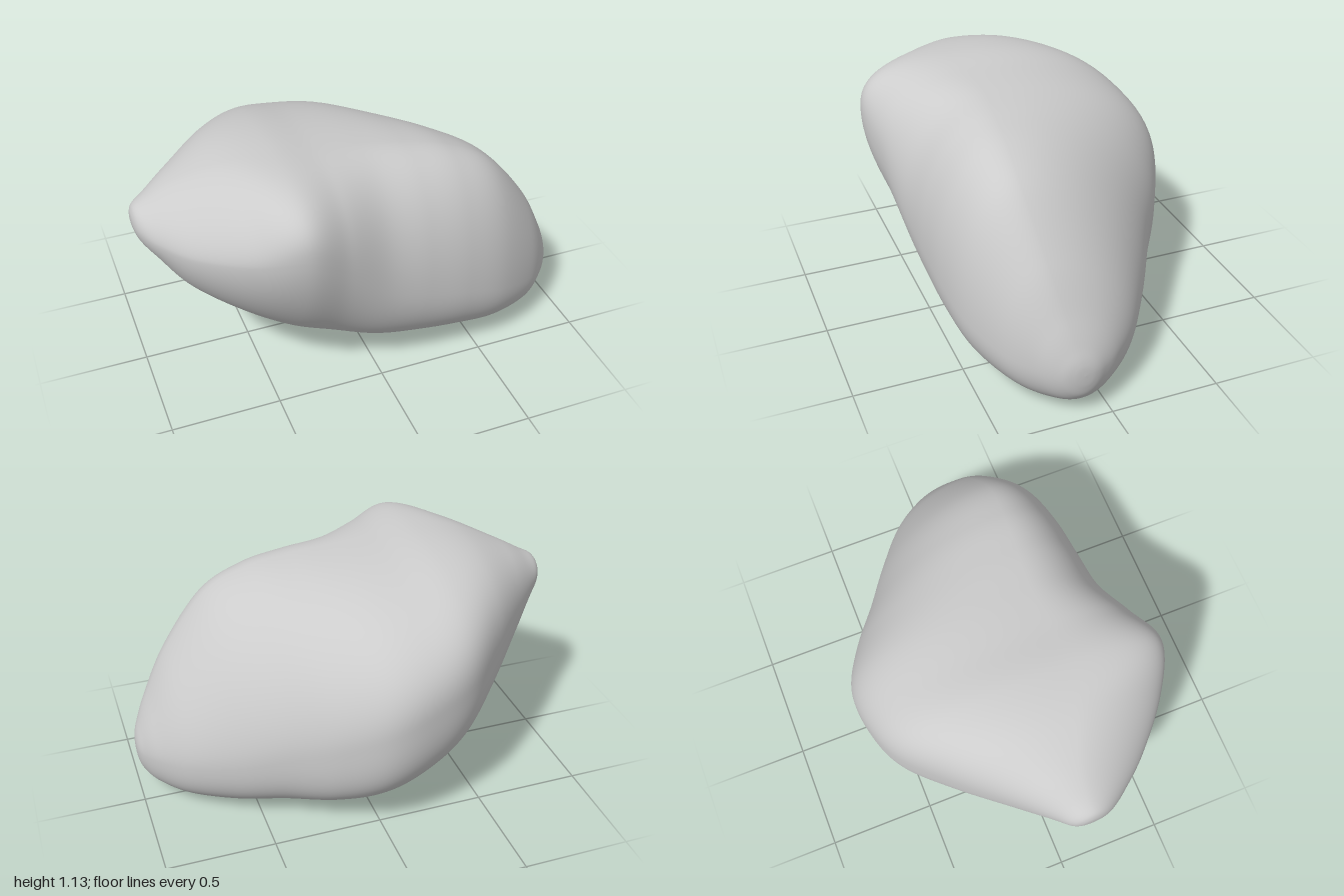
import * as THREE from 'three';
import { mergeVertices } from 'three/addons/utils/BufferGeometryUtils.js';

// Stations along the length of the boulder, closer together at both tips
const stations = [-1, -.995, -.975, -.92, -.8, -.6, -.4, -.2, 0, .2, .4, .6, .8, .92, .975, .995, 1];

// Outline of the cross-section at each station
const outline = {
  // highest and lowest points
  top: [.87, .905, .935, .965, 1.03, 1.11, 1.133, 1.11, 1.09, 1.065, 1.02, .915, .675, .46, .34, .28, .23],
  topZ: [.08, .085, .09, .09, .1, .16, .2, .2, .2, .22, .24, .25, .22, .18, .15, .14, .13],
  bottom: [.87, .825, .77, .69, .53, .36, .22, .13, .075, .043, .02, 0, .015, .053, .105, .165, .23],
  bottomZ: [.08, .08, .08, .08, .1, .1, .1, .08, .08, .08, .08, .08, .1, .12, .13, .13, .13],
  // foremost and rearmost points
  front: [.08, .135, .19, .27, .41, .58, .67, .63, .59, .575, .56, .52, .42, .31, .235, .18, .13],
  frontY: [.87, .86, .85, .83, .82, .85, .88, .75, .56, .48, .42, .35, .28, .25, .23, .23, .23],
  back: [.08, .035, -.005, -.06, -.185, -.4, -.58, -.655, -.665, -.58, -.45, -.33, -.19, -.06, .03, .08, .13],
  backY: [.87, .86, .85, .83, .79, .74, .7, .65, .58, .5, .42, .34, .28, .25, .23, .23, .23],
  // squareness of each corner (2 is round, more is boxier)
  topFront: [2, 1.9, 1.8, 1.7, 1.65, 1.9, 2.8, 2.4, 2.1, 2.1, 2.1, 2.05, 2, 2, 2, 2, 2],
  topBack: [2, 2, 2, 2.1, 2.3, 2.5, 2.4, 2.3, 2.2, 2, 1.85, 1.75, 1.75, 1.8, 1.9, 2, 2],
  bottomFront: [2, 2, 2, 1.9, 1.85, 1.8, 1.8, 1.95, 2.15, 2.2, 2.2, 2.2, 2.2, 2.1, 2, 2, 2],
  bottomBack: [2, 2, 2, 2, 2.2, 2.5, 2.8, 3, 3.1, 3.1, 2.8, 2.55, 2.4, 2.2, 2, 2, 2],
};

const curves = Object.entries(outline).map(([key, values]) => [
  key, new THREE.SplineCurve(stations.map((x, i) => new THREE.Vector2(x, values[i]))),
]);

// Four superellipse quarters joined at the extreme points of the section
function sectionPoint(s, angle) {
  const c = Math.cos(angle), d = Math.sin(angle);
  const n = s[(d >= 0 ? 'top' : 'bottom') + (c >= 0 ? 'Front' : 'Back')];
  const r = Math.pow(Math.abs(c) ** n + Math.abs(d) ** n, -1 / n);
  const u = r * Math.abs(c), v = r * Math.abs(d);
  const sideZ = c >= 0 ? s.front : s.back, sideY = c >= 0 ? s.frontY : s.backY;
  const poleZ = d >= 0 ? s.topZ : s.bottomZ, poleY = d >= 0 ? s.top : s.bottom;
  return [s.x, sideY + (poleY - sideY) * v, poleZ + (sideZ - poleZ) * u];
}

// Skin over the sections; the first and last rings shrink to the two tips
function boulderGeometry(rings = 160, segments = 128) {
  const positions = [], indices = [];
  for (let i = 0; i <= rings; i++) {
    const t = i / rings, s = { x: curves[0][1].getPoint(t).x };
    for (const [key, curve] of curves) s[key] = curve.getPoint(t).y;
    for (let j = 0; j < segments; j++) {
      positions.push(...sectionPoint(s, (j / segments) * Math.PI * 2));
      const k = (j + 1) % segments, a = i * segments, b = a + segments;
      if (i < rings - 1) indices.push(a + j, b + j, b + k);
      if (i > 0 && i < rings) indices.push(a + j, b + k, a + k);
    }
  }
  const geometry = new THREE.BufferGeometry();
  geometry.setAttribute('position', new THREE.Float32BufferAttribute(positions, 3));
  geometry.setIndex(indices);
  const merged = mergeVertices(geometry, 1e-5);
  merged.computeVertexNormals();
  return merged;
}

export function createModel() {
  const group = new THREE.Group();
  group.name = 'rock';
  const boulder = new THREE.Mesh(boulderGeometry(), new THREE.MeshStandardMaterial({ color: 0xcccccc }));
  boulder.name = 'boulder';
  group.add(boulder);
  return group;
}
